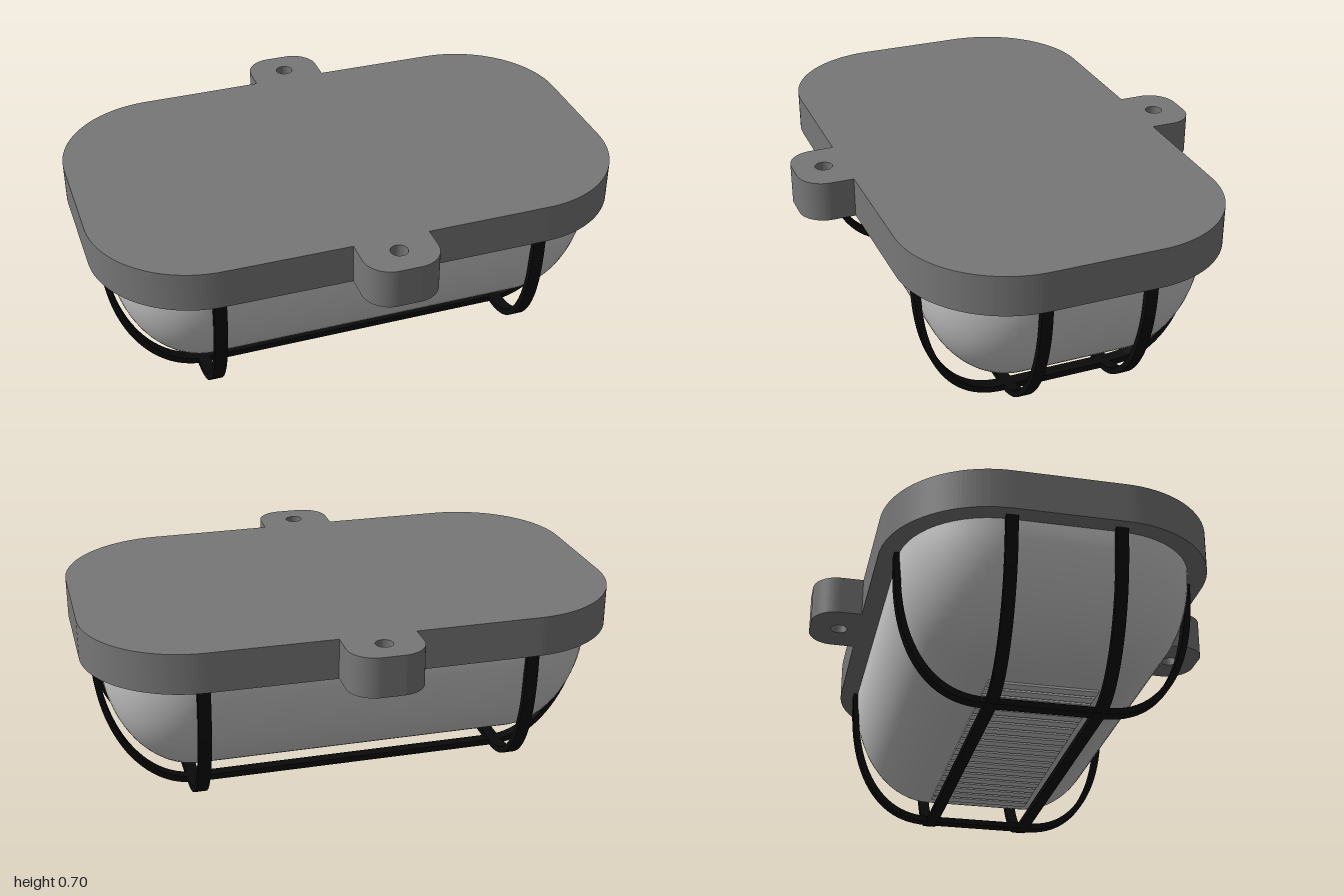
import * as THREE from 'three';

const grey = new THREE.MeshStandardMaterial({ color: 0x777777 });
const glass = new THREE.MeshStandardMaterial({ color: 0xcccccc, side: THREE.DoubleSide });
const black = new THREE.MeshStandardMaterial({ color: 0x0a0a0a });

const CX = 0.6, CZ = 0.2;            // centres of the rounded corners
const PLATE_Y = 0.555, PLATE_H = 0.15;
const GLASS_Y = 0.108;               // underside of the glass

function add(parent, name, geometry, material) {
  const mesh = new THREE.Mesh(geometry, material);
  mesh.name = name;
  parent.add(mesh);
  return mesh;
}

// Mounting plate outline with a rounded fixing lug at front and back
function plateGeometry() {
  const s = new THREE.Shape();
  const r = 0.4, w = 0.14, lugEnd = 0.787, lr = 0.1, q = Math.PI / 2;
  s.moveTo(1, -CZ);
  s.absarc(CX, CZ, r, 0, q);
  s.lineTo(w, 0.602);
  s.absarc(w - lr, lugEnd - lr, lr, 0, q);
  s.absarc(lr - w, lugEnd - lr, lr, q, 2 * q);
  s.lineTo(-w, 0.602);
  s.absarc(-CX, CZ, r, q, 2 * q);
  s.absarc(-CX, -CZ, r, 2 * q, 3 * q);
  s.lineTo(-w, -0.602);
  s.absarc(lr - w, lr - lugEnd, lr, 2 * q, 3 * q);
  s.absarc(w - lr, lr - lugEnd, lr, 3 * q, 4 * q);
  s.lineTo(w, -0.602);
  s.absarc(CX, -CZ, r, 3 * q, 4 * q);
  for (const z of [-0.675, 0.675]) {
    s.holes.push(new THREE.Path().absarc(0, z, 0.032, 0, Math.PI * 2, true));
  }
  const g = new THREE.ExtrudeGeometry(s, { depth: PLATE_H, bevelEnabled: false, curveSegments: 20 });
  return g.rotateX(-Math.PI / 2).translate(0, PLATE_Y, 0);
}

// Glass bowl: rounded-rectangle rings shrinking along an elliptical profile
function bowlGeometry() {
  const rings = 20, n = 14, count = 4 * (n + 1), pos = [], index = [];
  const corners = [[CX, CZ], [-CX, CZ], [-CX, -CZ], [CX, -CZ]];
  for (let i = 0; i <= rings; i++) {
    const t = (i / rings) * Math.PI / 2;
    const r = 0.33 * Math.cos(t), y = PLATE_Y - (PLATE_Y - GLASS_Y) * Math.sin(t);
    corners.forEach(([x, z], c) => {
      for (let j = 0; j <= n; j++) {
        const a = (c + j / n) * Math.PI / 2;
        pos.push(x + r * Math.cos(a), y, z + r * Math.sin(a));
      }
    });
  }
  for (let i = 0; i < rings; i++) {
    for (let j = 0; j < count; j++) {
      const a = i * count + j, b = i * count + (j + 1) % count;
      index.push(a, b, a + count, b, b + count, a + count);
    }
  }
  const g = new THREE.BufferGeometry();
  g.setAttribute('position', new THREE.Float32BufferAttribute(pos, 3));
  g.setIndex(index);
  g.computeVertexNormals();
  return g;
}

// Flat guard strap: a U-shaped band, straight underneath and curved up both ends
function strapGeometry(flat, reach, power, width) {
  const thick = 0.023, steps = 24;
  const side = (inset) => {
    const pts = [];
    for (let i = 0; i <= steps; i++) {
      const a = (i / steps) * Math.PI / 2;
      pts.push(new THREE.Vector2(
        flat + (reach - flat - inset) * Math.cos(a) ** (2 / power),
        PLATE_Y - (PLATE_Y - inset) * Math.sin(a) ** (2 / power)));
    }
    return pts;
  };
  const band = (inset) => {
    const right = side(inset);
    const left = right.map((p) => new THREE.Vector2(-p.x, p.y)).reverse();
    return [...right, ...left];
  };
  const shape = new THREE.Shape([...band(0), ...band(thick).reverse()]);
  return new THREE.ExtrudeGeometry(shape, { depth: width, bevelEnabled: false })
    .translate(0, 0, -width / 2);
}

export function createModel() {
  const model = new THREE.Group();
  model.name = 'bulkheadLamp';

  add(model, 'mountingPlate', plateGeometry(), grey);

  const cover = new THREE.Group();
  cover.name = 'glassCover';
  model.add(cover);
  add(cover, 'bowl', bowlGeometry(), glass);
  add(cover, 'bowlBottom', new THREE.PlaneGeometry(2 * CX, 2 * CZ)
    .rotateX(Math.PI / 2).translate(0, GLASS_Y, 0), glass);

  // Ridges moulded across the bottom of the glass
  const ribs = 21, pitch = 0.057;
  for (let i = 0; i < ribs; i++) {
    const rib = add(cover, 'rib', new THREE.BoxGeometry(0.042, 0.012, 2 * CZ), glass);
    rib.position.set((i - (ribs - 1) / 2) * pitch, 0.106, 0);
  }

  // Wire guard: two long straps and two cross straps
  const guard = new THREE.Group();
  guard.name = 'guard';
  model.add(guard);
  for (const s of [-1, 1]) {
    add(guard, 'longStrap', strapGeometry(CX, 0.96, 2, 0.043), black).position.z = s * 0.193;
    const cross = add(guard, 'crossStrap', strapGeometry(CZ, 0.547, 2.4, 0.047), black);
    cross.rotation.y = Math.PI / 2;
    cross.position.set(s * 0.607, 0.001, 0);
  }
  return model;
}
